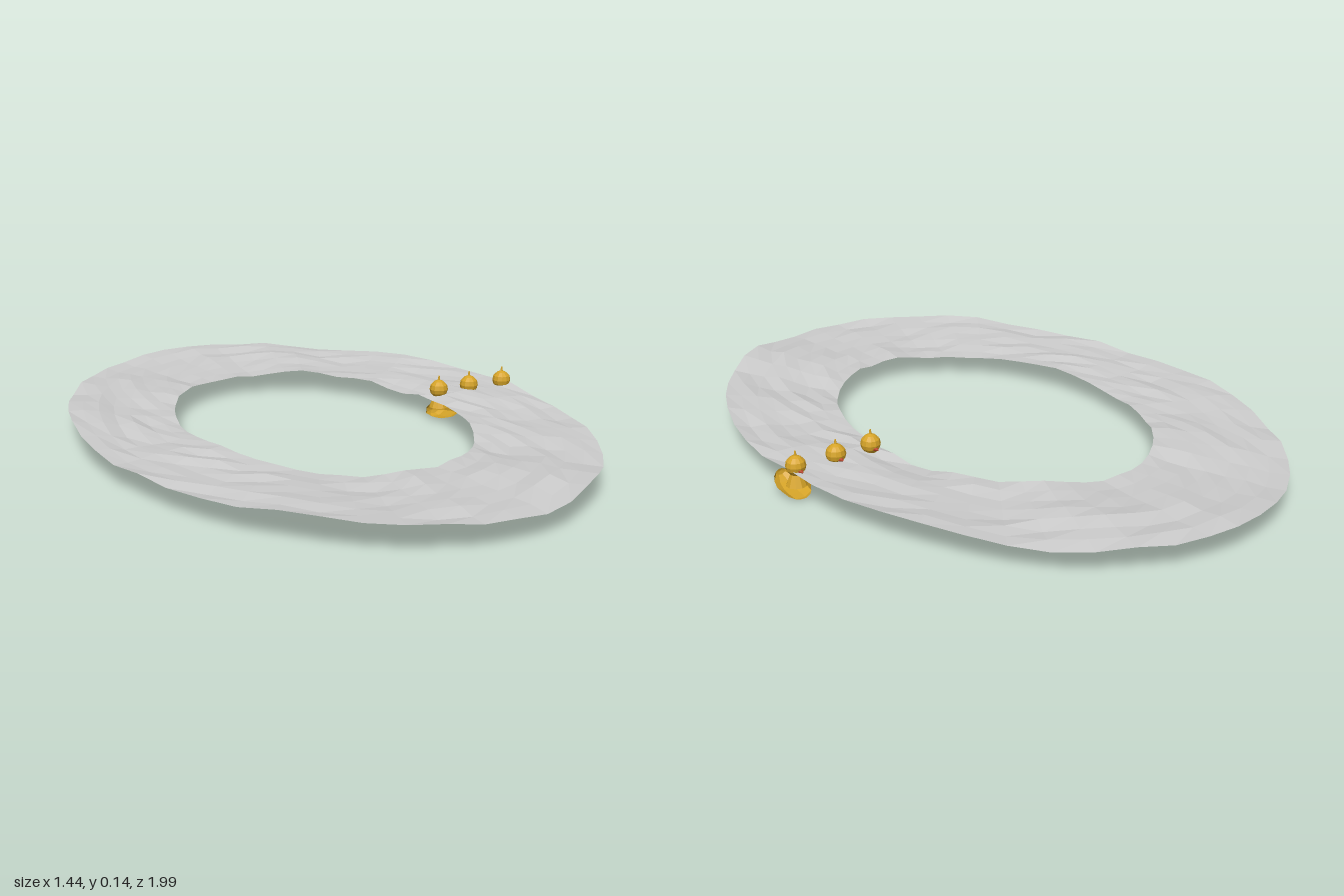
import * as THREE from 'three';

const grey = new THREE.MeshStandardMaterial({ color: 0xcccccc, flatShading: true, side: THREE.DoubleSide });
const gold = new THREE.MeshStandardMaterial({ color: 0xd6a428, flatShading: true });
const red = new THREE.MeshStandardMaterial({ color: 0xb5442a, flatShading: true });

// Indexed surface from a grid of points
function gridGeometry(rows, cols, pointAt) {
  const pos = [], idx = [];
  for (let r = 0; r <= rows; r++)
    for (let c = 0; c < cols; c++) pos.push(...pointAt(r, c));
  for (let r = 0; r < rows; r++)
    for (let c = 0; c < cols; c++) {
      const a = r * cols + c, b = r * cols + (c + 1) % cols;
      idx.push(a, b, a + cols, b, b + cols, a + cols);
    }
  const g = new THREE.BufferGeometry();
  g.setAttribute('position', new THREE.Float32BufferAttribute(pos, 3));
  g.setIndex(idx);
  g.computeVertexNormals();
  return g;
}

function named(name, geometry, material) {
  const m = new THREE.Mesh(geometry, material);
  m.name = name;
  return m;
}

// Rippled elliptical band of water
function waterGeometry() {
  let seed = 7;
  const rand = () => (seed = (seed * 16807) % 2147483647) / 2147483647;
  const rows = 7, cols = 48;
  return gridGeometry(rows, cols, (r, c) => {
    const t = r / rows, a = -c / cols * Math.PI * 2;
    const rx = 0.405 + 0.305 * t, rz = 0.567 + 0.43 * t;
    const y = 0.07 + 0.008 * (t - 0.5) + 0.006 * Math.sin(5 * a + 3 * t)
      + 0.004 * Math.sin(11 * a + 1.3) + 0.012 * (rand() - 0.5);
    return [-0.008 + rx * Math.cos(a), y, rz * Math.sin(a)];
  });
}

// Boat-shaped body: [z, half width, bottom, top] from tail to breast
const sections = [
  [0.064, 0, 0.045, 0.045], [0.062, 0.014, 0.034, 0.052], [0.045, 0.03, 0.018, 0.053],
  [0.02, 0.037, 0.008, 0.05], [-0.01, 0.038, 0.003, 0.055], [-0.04, 0.035, 0, 0.045],
  [-0.056, 0.022, 0.004, 0.03], [-0.06, 0, 0.015, 0.015],
];
function bodyGeometry() {
  return gridGeometry(sections.length - 1, 8, (r, c) => {
    const [z, w, lo, hi] = sections[r];
    const a = (c + 0.5) / 8 * Math.PI * 2, k = Math.cos(Math.PI / 8);
    return [w * Math.cos(a) / k, (lo + hi) / 2 + (hi - lo) / 2 * Math.sin(a) / k, z];
  });
}

function makeDuck() {
  const duck = new THREE.Group();
  duck.name = 'duck';
  duck.add(named('body', bodyGeometry(), gold));
  const neck = named('neck', new THREE.CylinderGeometry(0.015, 0.03, 0.036, 10), gold);
  neck.position.set(0, 0.052, -0.024);
  // Round head drawn up into a thin crest
  const profile = [[0, 0.064], [0.017, 0.068], [0.026, 0.08], [0.029, 0.092], [0.026, 0.106],
    [0.015, 0.117], [0.004, 0.122], [0.002, 0.135], [0, 0.136]];
  const head = named('head', new THREE.LatheGeometry(profile.map(p => new THREE.Vector2(...p)), 12), gold);
  head.position.z = -0.024;
  const beak = named('beak', new THREE.ConeGeometry(0.008, 0.02, 6), red);
  beak.rotation.x = -Math.PI / 2;
  beak.scale.x = 1.3;
  beak.position.set(0, 0.083, -0.054);
  duck.add(neck, head, beak);
  return duck;
}

export function createModel() {
  const model = new THREE.Group();
  model.name = 'duckPond';
  model.add(named('waterRing', waterGeometry(), grey));
  // Row of ducks across the band
  for (const x of [0.437, 0.552, 0.68]) {
    const duck = makeDuck();
    duck.position.x = x;
    model.add(duck);
  }
  return model;
}
